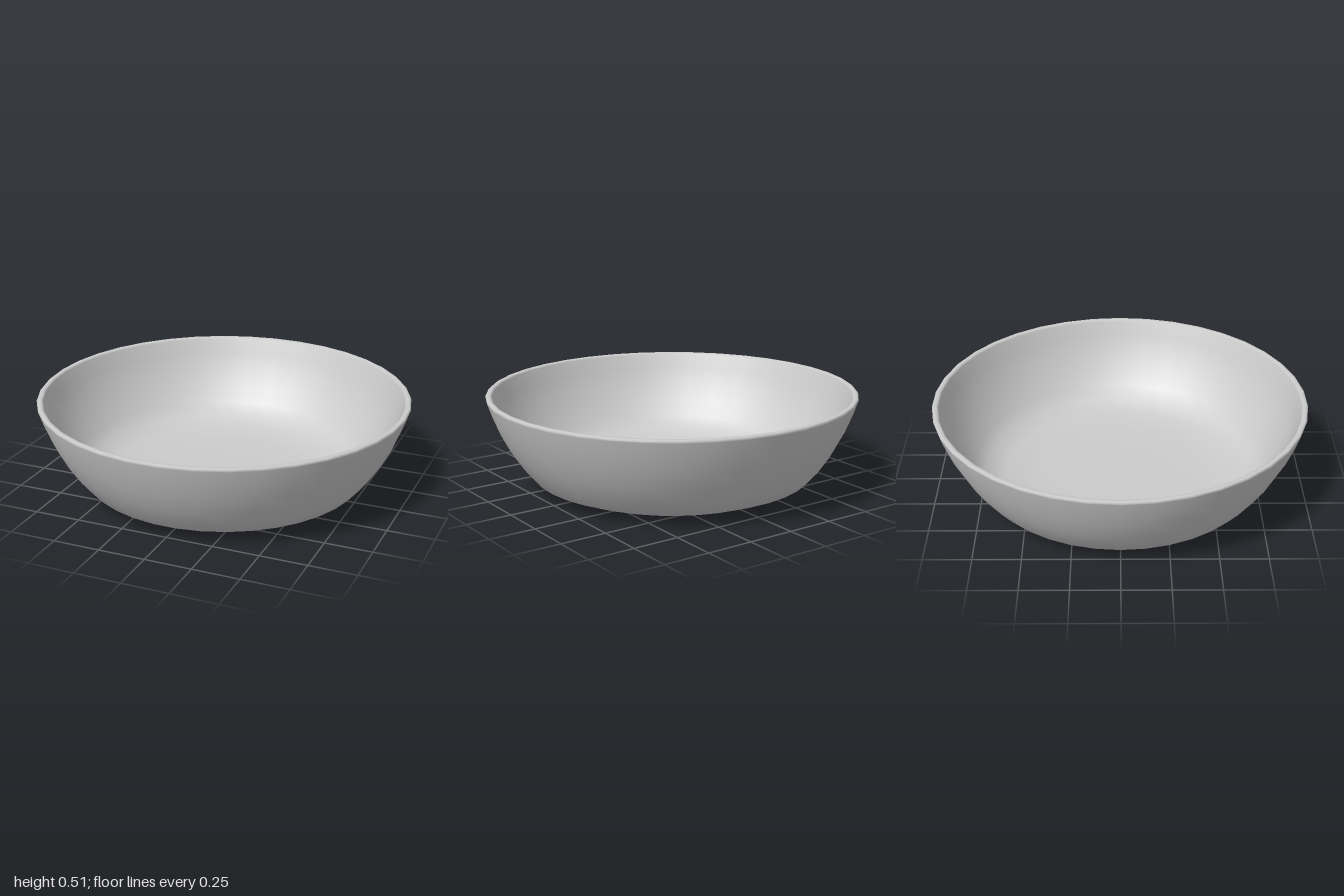
import * as THREE from 'three';

const SEGMENTS = 38;

export function createModel() {
  const group = new THREE.Group();
  group.name = 'bowl';
  const material = new THREE.MeshStandardMaterial({ color: 0xcccccc });

  // Closed wall profile [radius, height]: underside, outer wall, rim, inner wall, floor
  const profile = [
    [0, 0], [0.25, 0], [0.47, 0.007], [0.65, 0.02], [0.76, 0.065],
    [0.82, 0.135], [0.88, 0.225], [0.935, 0.33], [0.975, 0.43], [0.997, 0.495],
    [1, 0.505], [0.993, 0.512], [0.975, 0.512], [0.965, 0.503],
    [0.943, 0.43], [0.903, 0.335], [0.85, 0.24], [0.79, 0.155],
    [0.735, 0.1], [0.64, 0.057], [0.47, 0.042], [0.25, 0.037], [0, 0.037],
  ].map(([r, y]) => new THREE.Vector2(r, y));

  const shell = new THREE.Mesh(new THREE.LatheGeometry(profile, SEGMENTS), material);
  shell.name = 'bowlShell';
  shell.rotation.y = Math.PI / 2; // puts a corner on the x axis
  group.add(shell);
  return group;
}
